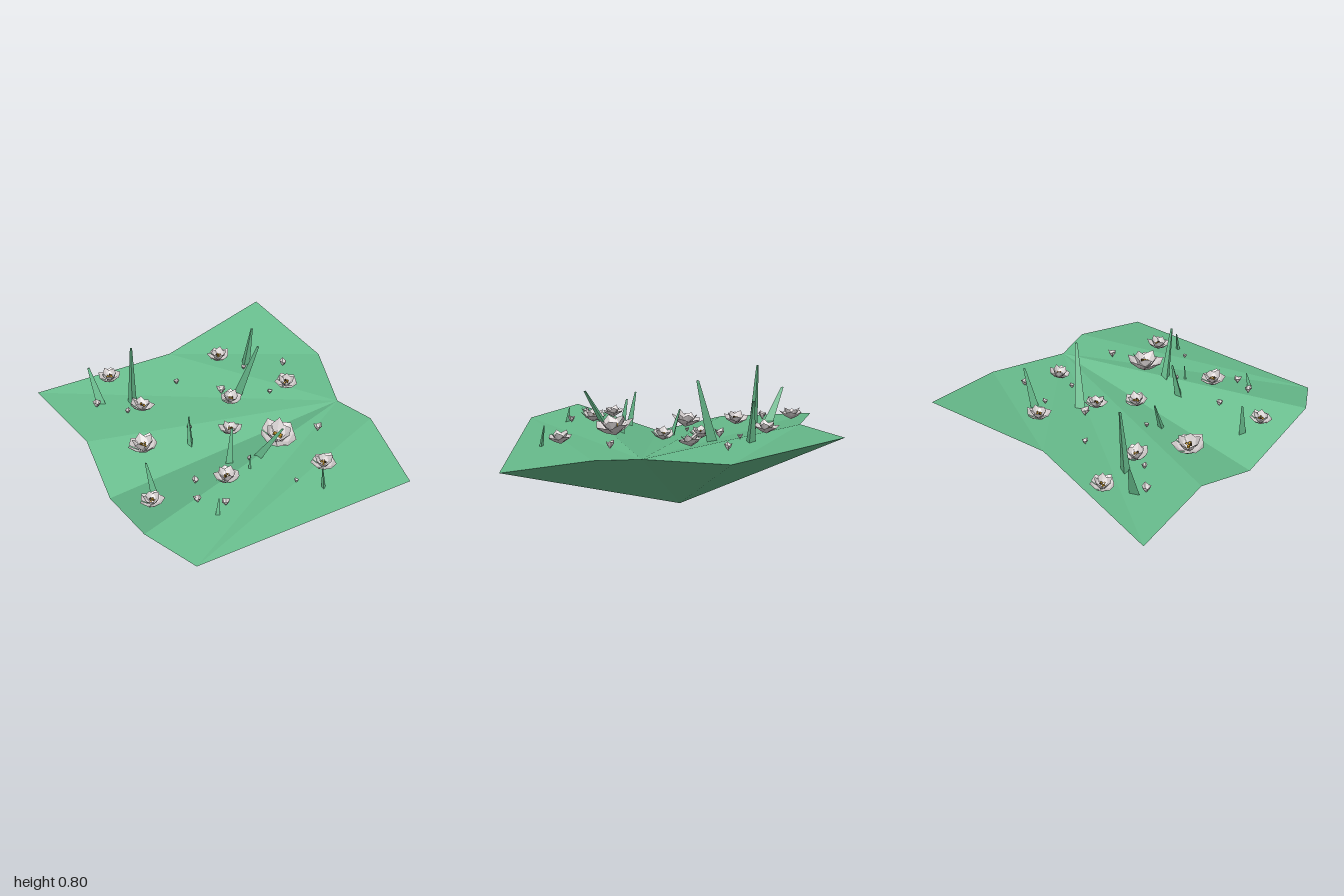
import * as THREE from 'three';

const mat = (name, color, side = THREE.FrontSide) => {
  const m = new THREE.MeshStandardMaterial({ color, side, flatShading: true });
  m.name = name;
  return m;
};

// Outline of the meadow, clockwise from above, and the creases of its surface
const RIM = [
  [-0.90, 0.37, -0.73], [-0.06, 0.49, -0.725], [0.61, 0.59, -1.0], [0.835, 0.48, -0.455],
  [0.765, 0.465, 0.02], [0.875, 0.475, 0.25], [0.90, 0.39, 0.74], [-0.405, 0.375, 1.0],
  [-0.61, 0.43, 0.75], [-0.68, 0.26, 0.235], [-0.715, 0.365, -0.17],
];
const APEX = [0.015, 0, -0.04];
const TOP = [[4, 10, 0], [4, 0, 1], [4, 9, 10], [4, 8, 9], [4, 7, 8], [4, 5, 7], [5, 6, 7], [1, 3, 4], [1, 2, 3]];

function faces(tris) {
  const g = new THREE.BufferGeometry();
  g.setAttribute('position', new THREE.Float32BufferAttribute(tris.flat(2), 3));
  g.computeVertexNormals();
  return g;
}

// Height of the meadow at x, z
function ground(x, z) {
  for (const t of TOP) {
    const [a, b, c] = t.map((i) => RIM[i]);
    const d = (b[2] - c[2]) * (a[0] - c[0]) + (c[0] - b[0]) * (a[2] - c[2]);
    const u = ((b[2] - c[2]) * (x - c[0]) + (c[0] - b[0]) * (z - c[2])) / d;
    const v = ((c[2] - a[2]) * (x - c[0]) + (a[0] - c[0]) * (z - c[2])) / d;
    if (u >= -0.001 && v >= -0.001 && u + v <= 1.001) return u * a[1] + v * b[1] + (1 - u - v) * c[1];
  }
  return 0.4;
}

// Ring of folded petals, unit radius
function petalRing(count, reach, rise, turn) {
  const tris = [];
  for (let i = 0; i < count; i++) {
    const a = turn + (i / count) * Math.PI * 2;
    const h = (Math.PI / count) * 1.05;
    const at = (r, y, s) => [Math.cos(a + s * h) * r * reach, y, Math.sin(a + s * h) * r * reach];
    const wobble = 1 + 0.1 * Math.sin(i * 2.3 + turn);
    const base = [0, 0, 0];
    const mid = at(0.6, rise * 0.42, 0);
    const left = at(0.88, rise * 0.8, -0.95);
    const right = at(0.88, rise * 0.72, 0.95);
    const tip = at(wobble, rise * wobble, 0.1);
    tris.push([base, left, mid], [base, mid, right], [mid, left, tip], [mid, tip, right]);
  }
  return faces(tris);
}

export function createModel() {
  const model = new THREE.Group();
  const green = mat('meadow green', 0x68bd8d);
  const petal = mat('pale petal', 0xd8d2d2, THREE.DoubleSide);
  const gold = mat('pollen gold', 0xc9982a);
  const brown = mat('stamen brown', 0x5a4420);

  const add = (parent, name, geo, material) => {
    const m = new THREE.Mesh(geo, material);
    m.name = name;
    parent.add(m);
    return m;
  };

  // Creased meadow on an inverted pyramid of earth
  add(model, 'meadowTop', faces(TOP.map(([a, b, c]) => [RIM[a], RIM[c], RIM[b]])), green);
  add(model, 'meadowUnderside', faces(RIM.map((p, i) => [p, RIM[(i + 1) % RIM.length], APEX])), green);

  // Large open flowers: x, z, radius
  const outer = petalRing(5, 1, 0.7, 0);
  const inner = petalRing(5, 0.68, 0.95, 0.6);
  const box = new THREE.BoxGeometry(0.17, 0.17, 0.17);
  [
    [-0.46, -0.64, 0.07], [0.21, -0.56, 0.07], [-0.35, -0.31, 0.075], [0.165, -0.19, 0.067],
    [0.52, -0.195, 0.067], [-0.42, 0.01, 0.093], [0.085, 0.05, 0.07], [0.285, 0.275, 0.11],
    [-0.5, 0.49, 0.067], [-0.08, 0.505, 0.076], [0.46, 0.54, 0.072],
  ].forEach(([x, z, r], i) => {
    const f = new THREE.Group();
    f.name = 'flower';
    f.position.set(x, ground(x, z) + 0.01, z);
    f.scale.setScalar(r);
    f.rotation.set(0.12 * Math.sin(i * 2), i * 1.7, 0.12 * Math.cos(i * 3));
    add(f, 'outerPetals', outer, petal);
    add(f, 'innerPetals', inner, petal);
    for (let k = 0; k < 4; k++) {
      const s = add(f, 'stamen', box, k < 3 ? gold : brown);
      s.position.set(Math.cos(k * 1.7) * 0.15, 0.5 + 0.08 * (k % 2), Math.sin(k * 1.7) * 0.15);
      s.rotation.set(k, k * 2, 0);
      s.scale.setScalar(k % 2 ? 0.65 : 0.9);
    }
    model.add(f);
  });

  // Small closed buds: x, z, radius
  const bud = petalRing(3, 1, 1.7, 0.4);
  [
    [-0.59, -0.45, 0.028], [-0.09, -0.465, 0.018], [0.33, -0.43, 0.017], [0.575, -0.4, 0.024],
    [0.14, -0.29, 0.03], [0.41, -0.18, 0.016], [-0.43, -0.325, 0.018], [-0.13, -0.055, 0.015],
    [-0.235, 0.415, 0.022], [-0.28, 0.605, 0.024], [-0.14, 0.655, 0.024], [0.09, 0.37, 0.014],
    [0.55, 0.24, 0.026], [0.28, 0.605, 0.014],
  ].forEach(([x, z, r], i) => {
    const b = add(model, 'bud', bud, petal);
    b.position.set(x, ground(x, z) + 0.005, z);
    b.scale.setScalar(r);
    b.rotation.y = i * 1.3;
  });

  // Leaning three-sided grass blades: base x, base z, tip x, y, z, base radius
  [
    [0.16, 0.34, 0.245, 0.70, 0.46, 0.03], [0.225, -0.26, 0.33, 0.80, -0.195, 0.035],
    [-0.38, -0.42, -0.365, 0.77, -0.44, 0.03], [-0.55, -0.49, -0.6, 0.595, -0.57, 0.035],
    [0.36, -0.49, 0.405, 0.715, -0.51, 0.03], [0.0, 0.31, 0.022, 0.615, 0.27, 0.026],
    [-0.46, 0.38, -0.49, 0.55, 0.34, 0.026], [-0.15, 0.04, -0.145, 0.53, -0.01, 0.02],
    [-0.2, 0.7, -0.185, 0.5, 0.68, 0.016], [0.415, 0.67, 0.41, 0.53, 0.65, 0.014],
    [0.075, 0.425, 0.08, 0.53, 0.42, 0.01],
  ].forEach(([bx, bz, tx, ty, tz, r], i) => {
    const by = ground(bx, bz) - 0.01;
    const g = new THREE.CylinderGeometry(r * 0.25, r, 1, 3).rotateY(i * 0.9).translate(0, 0.5, 0);
    const p = g.attributes.position;
    for (let k = 0; k < p.count; k++) {
      const t = p.getY(k);
      p.setXYZ(k, bx + p.getX(k) + t * (tx - bx), by + t * (ty - by), bz + p.getZ(k) + t * (tz - bz));
    }
    g.computeVertexNormals();
    add(model, 'grassBlade', g, green);
  });

  return model;
}
